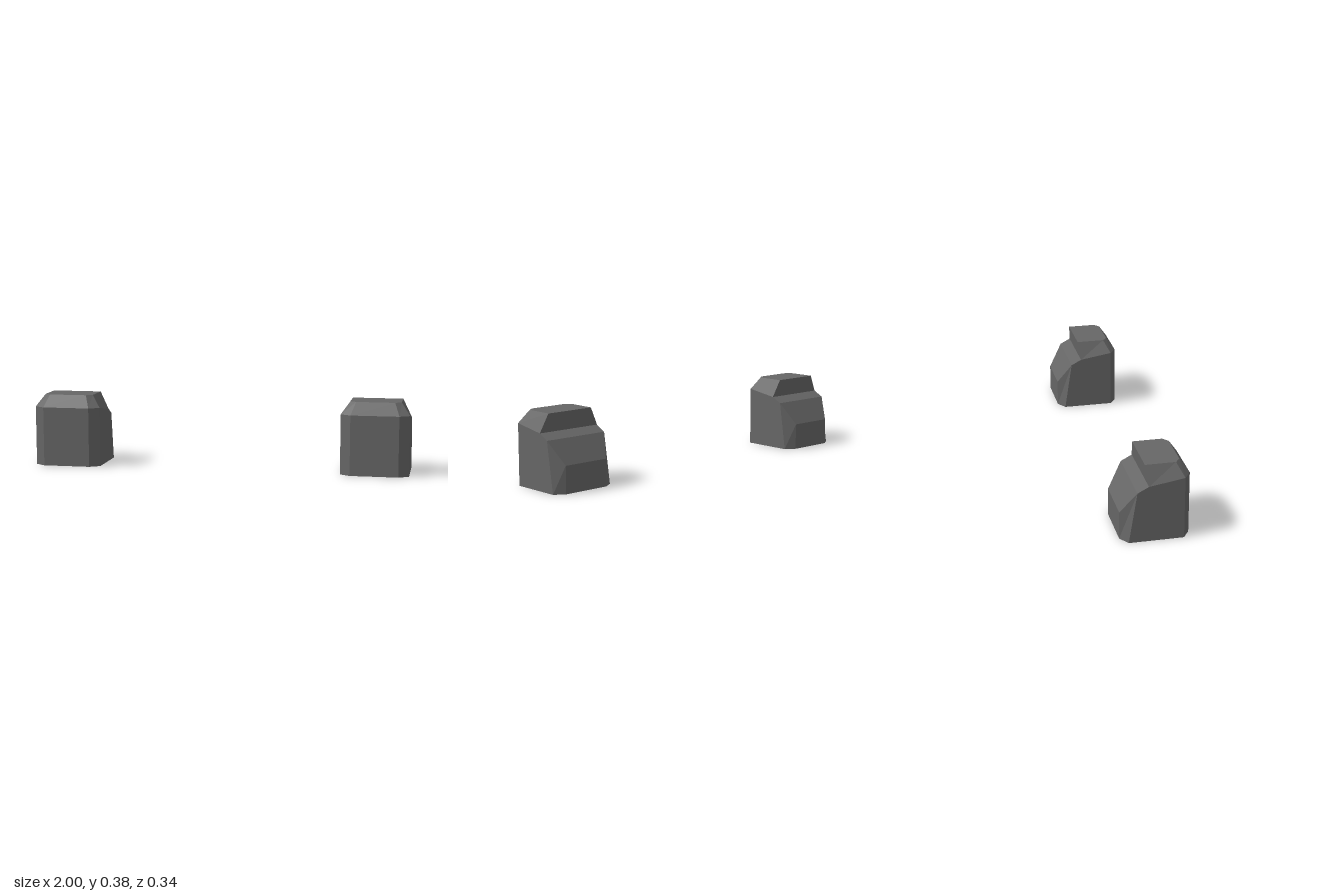
import * as THREE from 'three';

// Half outlines on the +x side, listed front to back as [x, y, z].
const base = [[0.125, 0, 0.17], [0.178, 0, 0.135], [0.178, 0, -0.04], [0.178, 0, -0.135], [0.125, 0, -0.17]];
const rim = [[0.125, 0.315, 0.17], [0.178, 0.315, 0.135], [0.178, 0.287, -0.04], [0.178, 0.258, -0.095], [0.125, 0.14, -0.17]];
const top = [[0.1, 0.38, 0.125], [0.132, 0.38, 0.1], [0.132, 0.38, -0.05]];

const mirror = ([x, y, z]) => [-x, y, z];

// One flat-faced, left-right symmetric block
function blockGeometry() {
  const pos = [];
  const quad = (a, b, c, d) => pos.push(...a, ...b, ...c, ...a, ...c, ...d);
  const sidePair = (a, b, c, d) => {
    quad(a, b, c, d);
    quad(...[d, c, b, a].map(mirror));
  };

  // Upright side walls with their chamfered corners
  for (let i = 0; i < 4; i++) sidePair(base[i], base[i + 1], rim[i + 1], rim[i]);
  // Sloping collar of the raised cap
  for (let i = 0; i < 2; i++) sidePair(rim[i], rim[i + 1], top[i + 1], top[i]);

  // Belt across the middle: front, cap, notch, sloping back, underside
  const belt = [base[0], rim[0], ...top, rim[2], rim[3], rim[4], ...[...base].reverse()];
  for (let i = 0; i < belt.length - 1; i++) {
    const p = belt[i], q = belt[i + 1];
    quad(mirror(p), p, q, mirror(q));
  }

  const geometry = new THREE.BufferGeometry();
  geometry.setAttribute('position', new THREE.Float32BufferAttribute(pos, 3));
  geometry.computeVertexNormals();
  return geometry;
}

export function createModel() {
  const model = new THREE.Group();
  model.name = 'blockPair';
  const material = new THREE.MeshStandardMaterial({ color: 0x666666, flatShading: true });
  const geometry = blockGeometry();
  for (const [name, side] of [['leftBlock', 1], ['rightBlock', -1]]) {
    const block = new THREE.Mesh(geometry, material);
    block.name = name;
    block.position.x = side * 0.822;
    model.add(block);
  }
  return model;
}
